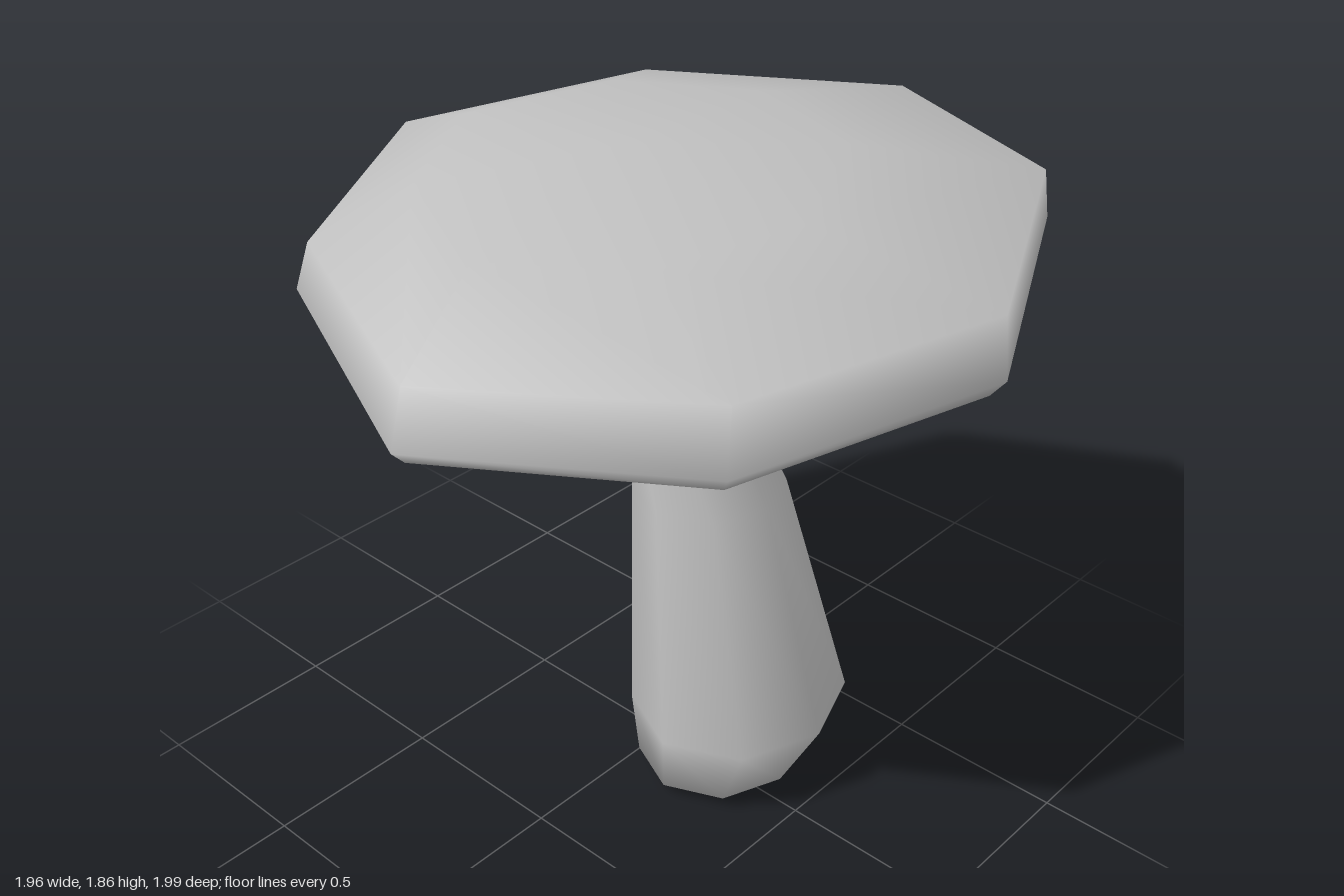
import * as THREE from 'three';

// Closed skin over rings of [x, y, z] points, listed from top to bottom, with an end point at each end
function loft(top, rings, bottom) {
  const n = rings[0].length;
  const points = [...rings.flat(), top, bottom];
  const topIndex = points.length - 2, bottomIndex = points.length - 1;
  const last = (rings.length - 1) * n;
  const index = [];
  for (let i = 0; i < n; i++) {
    const j = (i + 1) % n;
    index.push(topIndex, j, i);
    for (let r = 0; r < last; r += n) {
      index.push(r + i, r + j, r + n + i, r + j, r + n + j, r + n + i);
    }
    index.push(bottomIndex, last + i, last + j);
  }
  const geometry = new THREE.BufferGeometry();
  geometry.setAttribute('position', new THREE.Float32BufferAttribute(points.flat(), 3));
  geometry.setIndex(index);
  geometry.computeVertexNormals();
  return geometry;
}

// Uneven eight-cornered outline of the cap, as [x, z]
const OUTLINE = [[0, -1], [0.63, -0.76], [0.975, -0.06], [0.74, 0.61],
  [0.12, 0.99], [-0.6, 0.68], [-0.98, 0.03], [-0.69, -0.66]];

// Scaled and shifted outline lying on a tilted plane
function capRing({ scale, dx = 0, dz = 0, y, tiltX = 0, tiltZ = 0 }) {
  return OUTLINE.map(([ox, oz]) => {
    const x = ox * scale + dx, z = oz * scale + dz;
    return [x, y + tiltX * x + tiltZ * z, z];
  });
}

// Eight-sided oval section of the stem between the given limits
function stemRing([y, x0, x1, z0, z1]) {
  return Array.from({ length: 8 }, (_, i) => {
    const a = i * Math.PI / 4;
    return [(x0 + x1) / 2 + Math.cos(a) * (x1 - x0) / 2, y, (z0 + z1) / 2 + Math.sin(a) * (z1 - z0) / 2];
  });
}

export function createModel() {
  const model = new THREE.Group();
  model.name = 'mushroom';
  const grey = new THREE.MeshStandardMaterial({ color: 0xbfbfbf });
  grey.name = 'plain grey';

  // Cap: low dome, steep rim, bevelled edge and shallow underside
  const cap = new THREE.Mesh(loft([-0.03, 1.858, 0.12], [
    capRing({ scale: 0.56, dx: -0.06, dz: 0.08, y: 1.788, tiltZ: -0.07 }),
    capRing({ scale: 0.967, dx: 0.015, y: 1.667, tiltX: 0.01, tiltZ: -0.06 }),
    capRing({ scale: 1, y: 1.535, tiltX: -0.02, tiltZ: -0.08 }),
    capRing({ scale: 0.96, y: 1.485, tiltX: -0.02, tiltZ: -0.075 }),
    capRing({ scale: 0.12, dx: -0.05, y: 1.39 }),
  ], [-0.05, 1.385, 0]), grey);
  cap.name = 'cap';

  // Stem: leaning, swelling towards the foot (y, x limits, z limits)
  const sections = [
    [1.41, -0.17, 0.06, -0.11, 0.12],
    [0.88, -0.1, 0.305, -0.285, 0.14],
    [0.25, -0.055, 0.52, -0.38, 0.255],
    [0.035, -0.04, 0.41, -0.28, 0.2],
  ];
  const stem = new THREE.Mesh(
    loft([-0.055, 1.43, 0], sections.map(stemRing), [0.18, 0, -0.05]), grey);
  stem.name = 'stem';

  model.add(cap, stem);
  return model;
}
